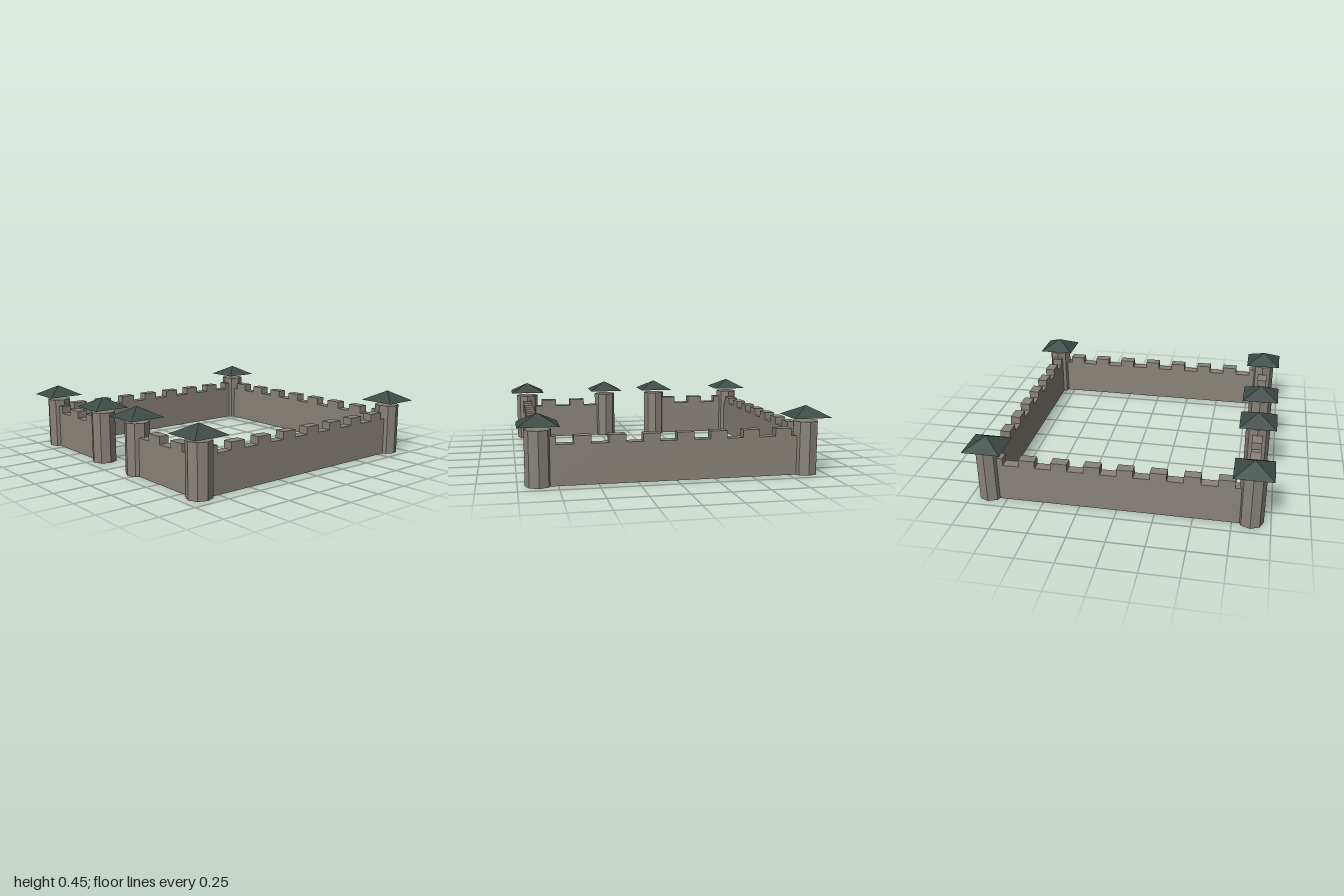
import * as THREE from 'three';

const SPAN = 0.87;        // corner tower centres
const GATE = 0.215;       // gate tower centres
const THICK = 0.07;
const WALL_TOP = 0.26, MERLON_TOP = 0.31;

const stone = new THREE.MeshStandardMaterial({ color: 0x89837a });
stone.name = 'stone';
const slate = new THREE.MeshStandardMaterial({ color: 0x3e4b46 });
slate.name = 'slate';

// Crenellated wall centred on its own origin; merlons and gaps alternate from the -x end
function wall(name, length, steps, x, z, turn) {
  const s = new THREE.Shape();
  const step = length / steps;
  s.moveTo(length / 2, 0);
  for (let i = steps - 1; i >= 0; i--) {
    const y = i % 2 === 0 ? MERLON_TOP : WALL_TOP;
    s.lineTo(-length / 2 + (i + 1) * step, y);
    s.lineTo(-length / 2 + i * step, y);
  }
  s.lineTo(-length / 2, 0);
  const geo = new THREE.ExtrudeGeometry(s, { depth: THICK, bevelEnabled: false });
  geo.translate(0, 0, -THICK / 2);
  const mesh = new THREE.Mesh(geo, stone);
  mesh.name = name;
  mesh.position.set(x, 0, z);
  mesh.rotation.y = turn;
  return mesh;
}

// Octagonal tower with a square pyramid roof held just above it
function tower(name, x, z) {
  const g = new THREE.Group();
  g.name = name;
  const shaftGeo = new THREE.CylinderGeometry(0.084, 0.084, 0.354, 8).toNonIndexed();
  shaftGeo.computeVertexNormals();
  const shaft = new THREE.Mesh(shaftGeo, stone);
  shaft.name = 'towerShaft';
  shaft.position.y = 0.177;

  const roofGeo = new THREE.ConeGeometry(0.128 * Math.SQRT2, 0.07, 4).toNonIndexed();
  roofGeo.rotateY(Math.PI / 4);
  roofGeo.computeVertexNormals();
  const roof = new THREE.Mesh(roofGeo, slate);
  roof.name = 'towerRoof';
  roof.position.y = 0.419;

  g.add(shaft, roof);
  g.position.set(x, 0, z);
  return g;
}

export function createModel() {
  const model = new THREE.Group();
  model.name = 'castleWalls';

  // Towers at the corners and either side of the gate
  for (const [side, sx] of [['left', 1], ['right', -1]]) {
    model.add(tower(side + 'FrontTower', sx * SPAN, SPAN));
    model.add(tower(side + 'BackTower', sx * SPAN, -SPAN));
    model.add(tower(side + 'GateTower', sx * GATE, SPAN));
  }

  // Long walls run anticlockwise from tower to tower
  model.add(wall('backWall', 2 * SPAN, 16, 0, -SPAN, Math.PI));
  model.add(wall('leftWall', 2 * SPAN, 16, SPAN, 0, Math.PI / 2));
  model.add(wall('rightWall', 2 * SPAN, 16, -SPAN, 0, -Math.PI / 2));

  // Short walls beside the gate
  const len = 0.708, mid = SPAN - len / 2;
  model.add(wall('leftFrontWall', len, 6, mid, SPAN, 0));
  model.add(wall('rightFrontWall', len, 6, -mid, SPAN, 0));

  return model;
}
